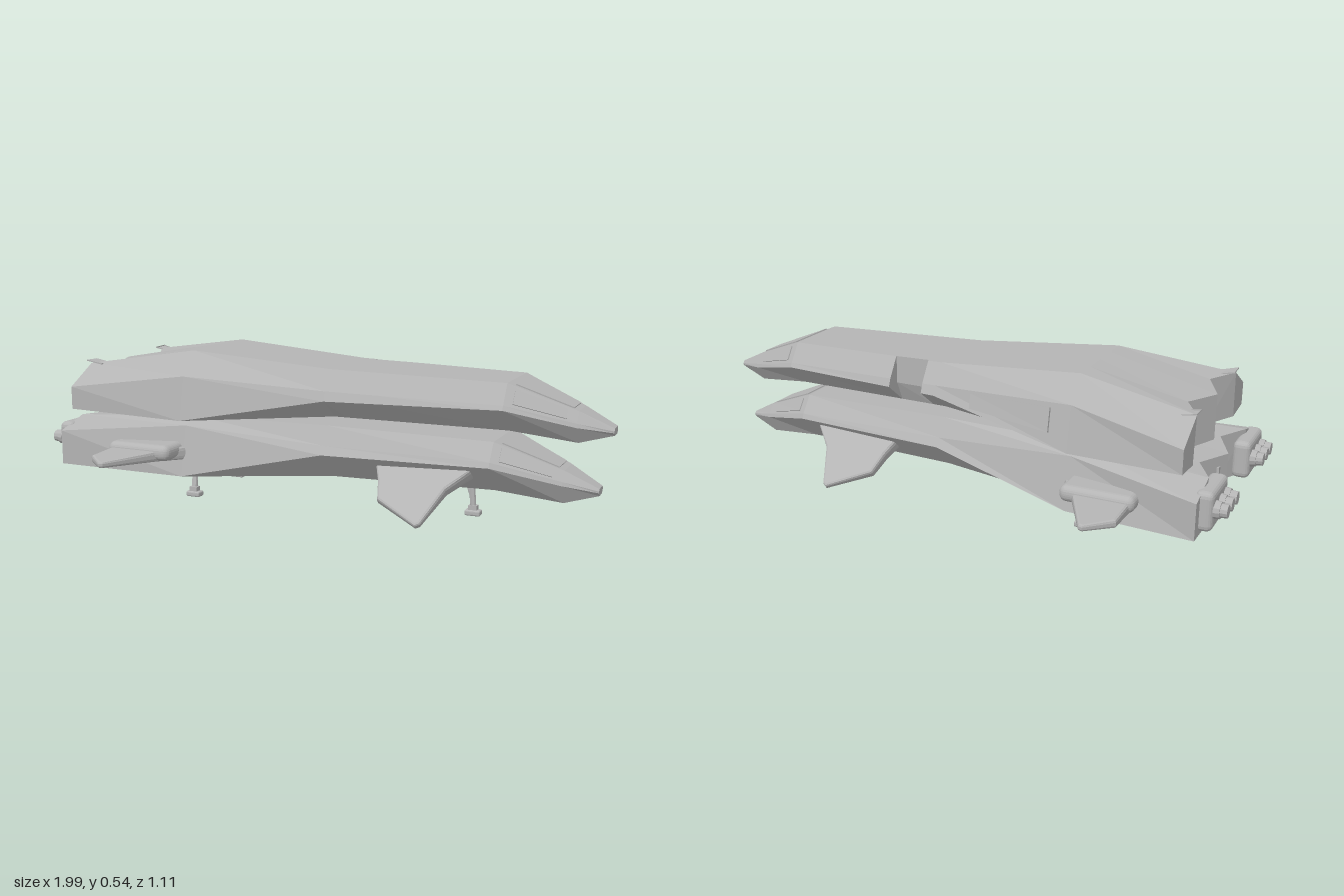
import * as THREE from 'three';
import { RoundedBoxGeometry } from 'three/addons/geometries/RoundedBoxGeometry.js';

const grey = new THREE.MeshStandardMaterial({ color: 0xb4b4b4, flatShading: true });
grey.name = 'hull grey';

// Half section: x, then [z, y] of top edge, crease, lower edge and bottom edge
const UPPER = [
  [-0.87, [0.24, 0.48], [0.365, 0.41], [0.365, 0.33], [0.25, 0.32]],
  [-0.47, [0.18, 0.54], [0.26, 0.457], [0.29, 0.303], [0.2, 0.3]],
  [0.05, [0.155, 0.5], [0.2, 0.43], [0.213, 0.397], [0.12, 0.33]],
  [0.66, [0.125, 0.487], [0.17, 0.42], [0.178, 0.405], [0.09, 0.325]],
  [0.88, [0.055, 0.4], [0.082, 0.363], [0.087, 0.35], [0.05, 0.295]],
  [0.99, [0.025, 0.347], [0.032, 0.338], [0.032, 0.332], [0.02, 0.322]],
];
const LOWER = [
  [-0.92, [0.24, 0.285], [0.368, 0.247], [0.368, 0.125], [0.25, 0.122]],
  [-0.47, [0.19, 0.306], [0.25, 0.28], [0.29, 0.103], [0.2, 0.1]],
  [0.04, [0.16, 0.305], [0.195, 0.24], [0.213, 0.21], [0.12, 0.118]],
  [0.62, [0.125, 0.29], [0.17, 0.23], [0.178, 0.212], [0.09, 0.12]],
  [0.84, [0.055, 0.2], [0.082, 0.168], [0.087, 0.155], [0.05, 0.09]],
  [0.95, [0.025, 0.143], [0.032, 0.136], [0.032, 0.13], [0.02, 0.118]],
];

// Section between two others
function between(a, b, x) {
  const t = (x - a[0]) / (b[0] - a[0]);
  return [x, ...a.slice(1).map((p, i) => p.map((v, k) => v + (b[i + 1][k] - v) * t))];
}

// Closed 14-point ring; the stern gets a zigzag edge, a bay is cut into the -z side
function ring([x, top, crease, low, bottom], stern, bay) {
  const zig = stern ? 0.06 : 0;
  const half = [
    [x, top[1] - zig * 0.1, 0], [x + zig, top[1], top[0] * 0.54],
    [x, top[1], top[0]], [x, crease[1], crease[0]], [x, low[1], low[0]],
    [x, bottom[1], bottom[0]], [x + zig, bottom[1], bottom[0] * 0.52], [x, bottom[1], 0],
  ];
  const other = half.slice(1, 7).reverse().map(([px, y, z]) => [px, y, bay ? Math.max(-z, -0.145) : -z]);
  return [...half, ...other];
}

function hullGeometry(rings) {
  const pos = [];
  const quad = (a, b, c, d) => pos.push(...a, ...b, ...c, ...a, ...c, ...d);
  for (let i = 0; i < rings.length - 1; i++) {
    const a = rings[i], b = rings[i + 1];
    for (let j = 0; j < 14; j++) {
      const k = (j + 1) % 14;
      quad(a[j], a[k], b[k], b[j]);
    }
  }
  // Bow and stern caps
  const bow = rings[rings.length - 1], stern = rings[0];
  const m = (j) => (14 - j) % 14;
  for (const [a, b, c, d] of [[0, 1, 6, 7], [1, 2, 5, 6], [2, 3, 4, 5]]) {
    quad(bow[a], bow[b], bow[c], bow[d]);
    quad(bow[m(d)], bow[m(c)], bow[m(b)], bow[m(a)]);
    quad(stern[d], stern[c], stern[b], stern[a]);
    quad(stern[m(a)], stern[m(b)], stern[m(c)], stern[m(d)]);
  }
  const g = new THREE.BufferGeometry();
  g.setAttribute('position', new THREE.Float32BufferAttribute(pos, 3));
  g.computeVertexNormals();
  return g;
}

function add(parent, name, geometry, x = 0, y = 0, z = 0) {
  const mesh = new THREE.Mesh(geometry, grey);
  mesh.name = name;
  mesh.position.set(x, y, z);
  parent.add(mesh);
  return mesh;
}

// Fin: outline in (x, span), thinning toward the tip, tilted around the x axis
function fin(outline, thick, span, tilt) {
  const shape = new THREE.Shape(outline.map((p) => new THREE.Vector2(...p)));
  const bevel = thick * 0.3;
  const g = new THREE.ExtrudeGeometry(shape, {
    depth: thick - 2 * bevel, bevelThickness: bevel, bevelSize: 0.008, bevelOffset: -0.008, bevelSegments: 2,
  });
  g.translate(0, 0, bevel - thick / 2);
  const p = g.attributes.position;
  for (let i = 0; i < p.count; i++) p.setZ(i, p.getZ(i) * (1 - 0.55 * p.getY(i) / span));
  g.rotateX(tilt);
  g.computeVertexNormals();
  return g;
}

// Thin plate laid on four corners (counter-clockwise seen from outside)
function plate(corners, lift = 0.004) {
  const [a, b, c, d] = corners.map((p) => new THREE.Vector3(...p));
  const n = b.clone().sub(a).cross(c.clone().sub(a)).normalize().multiplyScalar(lift);
  const up = [a, b, c, d].map((v) => v.clone().add(n)), down = [a, b, c, d];
  const pos = [];
  const quad = (...q) => [0, 1, 2, 0, 2, 3].forEach((i) => pos.push(...q[i].toArray()));
  quad(...up);
  for (let i = 0; i < 4; i++) quad(down[i], down[(i + 1) % 4], up[(i + 1) % 4], up[i]);
  const g = new THREE.BufferGeometry();
  g.setAttribute('position', new THREE.Float32BufferAttribute(pos, 3));
  g.computeVertexNormals();
  return g;
}

function canopy(parent, s0, s1) {
  const at = (t, k, f) => { // point along the nose: t lengthwise, f across the top
    const s = between(s0, s1, s0[0] + (s1[0] - s0[0]) * t);
    return [s[0], s[k][1], s[k][0] * f];
  };
  add(parent, 'windscreen', plate([at(0.1, 1, -0.85), at(0.1, 1, 0.85), at(0.92, 1, 0.85), at(0.92, 1, -0.85)]));
  const mix = (p, q, u) => p.map((v, i) => v + (q[i] - v) * u);
  for (const side of [1, -1]) {
    const p = (t, u) => mix(at(t, 1, side), at(t, 2, side), u);
    const c = [p(0.12, 0.15), p(0.12, 0.85), p(0.85, 0.85), p(0.85, 0.15)];
    add(parent, 'sideWindow', plate(side > 0 ? c : c.reverse()));
  }
}

function landingLeg(parent, x, z, topZ) {
  const leg = new THREE.Group();
  leg.name = 'landingLeg';
  parent.add(leg);
  add(leg, 'footPad', new RoundedBoxGeometry(0.055, 0.02, 0.036, 2, 0.006), x, 0.01, z);
  add(leg, 'ankle', new THREE.BoxGeometry(0.03, 0.02, 0.024), x, 0.026, z);
  const strut = (name, ax, bx, r) => {
    const a = new THREE.Vector3(ax, 0.025, z), b = new THREE.Vector3(bx, 0.125, topZ);
    const c = new THREE.CatmullRomCurve3([a, a.clone().lerp(b, 0.5), b]);
    add(leg, name, new THREE.TubeGeometry(c, 2, r, 8));
  };
  strut('strut', x, x - 0.008, 0.011);
  strut('brace', x + 0.006, x - 0.028, 0.006);
}

export function createModel() {
  const ship = new THREE.Group();
  ship.name = 'doubleHullShip';

  // Upper hull with an open bay on its -z side
  const upper = new THREE.Group();
  upper.name = 'upperHull';
  ship.add(upper);
  const [u0, u1, u2, u3, u4, u5] = UPPER;
  const bayA = between(u2, u3, 0.1), bayB = between(u2, u3, 0.23);
  add(upper, 'upperHullShell', hullGeometry([
    ring(u0, true), ring(u1), ring(u2), ring(bayA), ring(bayA, false, true),
    ring(bayB, false, true), ring(bayB), ring(u3), ring(u4), ring(u5)]));
  canopy(upper, u3, u4);
  const sideAt = (x, u) => {
    const s = between(u1, u2, x);
    return [x, s[2][1] + (s[3][1] - s[2][1]) * u, -(s[2][0] + (s[3][0] - s[2][0]) * u)];
  };
  add(upper, 'sidePanel', plate([sideAt(-0.1, 0.12), sideAt(-0.1, 0.85), sideAt(-0.4, 0.7), sideAt(-0.4, 0.12)], 0.008));
  for (const s of [1, -1]) // raised stern tips
    add(upper, 'sternTip', plate([[-0.875, 0.49, s * 0.26], [-0.875, 0.488, s * 0.2], [-0.82, 0.478, s * 0.2],
      [-0.82, 0.478, s * 0.25]].reverse().map((p) => p), 0.004)).material = finTipMaterial;

  // Lower hull
  const lower = new THREE.Group();
  lower.name = 'lowerHull';
  ship.add(lower);
  add(lower, 'lowerHullShell', hullGeometry(LOWER.map((s, i) => ring(s, i === 0))));
  canopy(lower, LOWER[3], LOWER[4]);
  add(lower, 'sternMachinery', new THREE.BoxGeometry(0.06, 0.09, 0.1), -0.875, 0.2, 0);

  for (const s of [1, -1]) {
    // Engines: block and three nozzles on each side
    add(lower, 'engineBlock', new RoundedBoxGeometry(0.06, 0.13, 0.19, 2, 0.02), -0.93, 0.205, s * 0.235);
    for (const z of [0.178, 0.235, 0.292]) {
      const collar = add(lower, 'nozzleCollar', new THREE.CylinderGeometry(0.027, 0.03, 0.02, 12), -0.968, 0.208, s * z);
      const nozzle = add(lower, 'nozzle', new THREE.CylinderGeometry(0.021, 0.023, 0.03, 12), -0.985, 0.208, s * z);
      collar.rotation.z = nozzle.rotation.z = Math.PI / 2;
    }
    // Rear wings with their root pods
    add(lower, 'rearWingRoot', new RoundedBoxGeometry(0.25, 0.056, 0.14, 3, 0.025), -0.6, 0.196, s * 0.3);
    add(lower, 'rearWing', fin([[-0.46, 0], [-0.71, 0], [-0.71, 0.21], [-0.63, 0.285], [-0.615, 0.28], [-0.52, 0.09]],
      0.046, 0.285, s * Math.PI / 2), 0, 0.185, s * 0.27);
    // Front fins slanting down
    add(lower, 'frontFin', fin([[0.56, 0], [0.22, 0], [0.25, 0.075], [0.27, 0.15], [0.425, 0.235], [0.44, 0.225], [0.49, 0.085]],
      0.05, 0.235, s * 2.25), 0, 0.18, s * 0.147);
    landingLeg(lower, -0.49, s * 0.165, s * 0.14);
  }
  landingLeg(lower, 0.52, 0, 0);
  return ship;
}

// Same grey, seen from both sides for the small open tips
const finTipMaterial = grey.clone();
finTipMaterial.side = THREE.DoubleSide;
